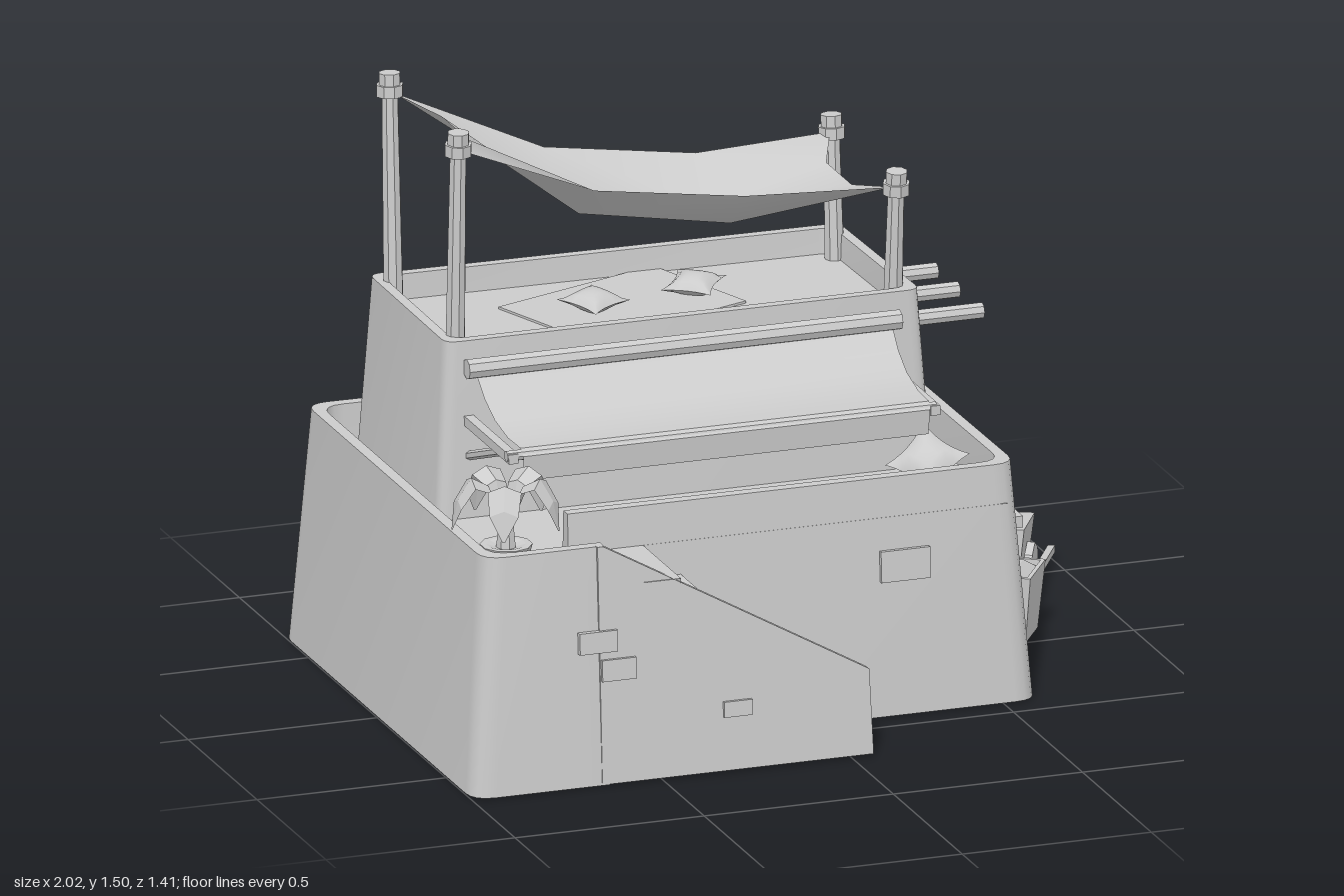
import * as THREE from 'three';
import { toCreasedNormals } from 'three/addons/utils/BufferGeometryUtils.js';

const smooth = new THREE.MeshStandardMaterial({ color: 0xcccccc, side: THREE.DoubleSide });
const flat = new THREE.MeshStandardMaterial({ color: 0xcccccc, side: THREE.DoubleSide, flatShading: true });
const V = (x, y, z) => new THREE.Vector3(x, y, z);

function add(parent, name, geometry, pos = [0, 0, 0], rot = [0, 0, 0], material = flat) {
  const m = new THREE.Mesh(geometry, material);
  m.name = name;
  m.position.set(...pos);
  m.rotation.set(...rot);
  parent.add(m);
  return m;
}
const box = (parent, name, size, pos, rot) => add(parent, name, new THREE.BoxGeometry(...size), pos, rot);

// Surface through equal rows of points
function grid(rows, crease = 0.6) {
  const n = rows[0].length, index = [];
  for (let i = 0; i < rows.length - 1; i++) for (let j = 0; j < n - 1; j++) {
    const a = i * n + j, d = a + n;
    index.push(a, a + 1, d + 1, a, d + 1, d);
  }
  const g = new THREE.BufferGeometry().setFromPoints(rows.flat());
  g.setIndex(index);
  return toCreasedNormals(g, crease);
}

// Round bar between two points
function rod(parent, name, a, b, r, sides = 8, r2 = r) {
  const dir = b.clone().sub(a);
  const m = add(parent, name, new THREE.CylinderGeometry(r2, r, dir.length(), sides), a.clone().lerp(b, 0.5).toArray());
  m.quaternion.setFromUnitVectors(V(0, 1, 0), dir.normalize());
  return m;
}

// Move a plan outline inwards by d and round its corners
function outline(pts, d, r, closed) {
  const n = pts.length, P = pts.map(p => new THREE.Vector2(...p));
  const normal = i => {
    const e = P[(i + 1) % n].clone().sub(P[i]).normalize();
    return new THREE.Vector2(e.y, -e.x);
  };
  const off = P.map((p, i) => {
    const a = normal(!closed && i === 0 ? 0 : (i + n - 1) % n);
    const b = normal(!closed && i === n - 1 ? n - 2 : i);
    const first = !closed && i === n - 1 ? normal(n - 2) : a;
    return p.clone().addScaledVector(first.clone().add(b), d / (1 + first.dot(b)));
  });
  const out = [];
  off.forEach((p, i) => {
    if (!closed && (i === 0 || i === n - 1)) return out.push(p);
    const q = off[(i + n - 1) % n], s = off[(i + 1) % n];
    const a = p.clone().add(q.clone().sub(p).setLength(r)), b = p.clone().add(s.clone().sub(p).setLength(r));
    out.push(...new THREE.QuadraticBezierCurve(a, p, b).getPoints(4));
  });
  if (closed) out.push(out[0].clone());
  return out;
}

// Leaning wall with a parapet, swept round a plan outline; profile is [inset, height]
function wall(parent, name, pts, profile, r, closed) {
  const rows = profile.map(([d, y]) => outline(pts, d, r, closed).map(p => V(p.x, y, p.y)));
  add(parent, name, grid(rows), [0, 0, 0], [0, 0, 0], smooth);
  if (!closed) for (const k of [0, rows[0].length - 1]) {
    const e = rows.map(row => row[k]);
    add(parent, name + 'End', grid([[e[0], e[1]], [e[3], e[2]]]));
  }
}
function floor(parent, name, pts, y) {
  const g = new THREE.ShapeGeometry(new THREE.Shape(pts.map(([x, z]) => new THREE.Vector2(x, -z))));
  add(parent, name, g.rotateX(-Math.PI / 2), [0, y, 0]);
}

// Pillow with pinched edges and pulled-out corners
function cushion(parent, pos, rot, size = 0.13) {
  const g = new THREE.BoxGeometry(2, 1, 2, 6, 2, 6), p = g.attributes.position;
  for (let i = 0; i < p.count; i++) {
    const u = p.getX(i), v = p.getZ(i), a = 1 - u * u, b = 1 - v * v;
    p.setXYZ(i, u * (1 - 0.18 * b) * size / 2, p.getY(i) * 0.05 * Math.sqrt(a * b), v * (1 - 0.18 * a) * size / 2);
  }
  g.computeVertexNormals();
  add(parent, 'cushion', g, pos, rot, smooth);
}

function pole(parent, x, z, lean, top) {
  const a = V(x, 0.89, z - lean), b = V(x, top, z), at = y => a.clone().lerp(b, (y - 0.89) / (top - 0.89));
  rod(parent, 'canopyPole', a, b, 0.026, 8, 0.021);
  rod(parent, 'poleRing', at(top - 0.06), at(top - 0.03), 0.035);
  rod(parent, 'poleCap', at(top - 0.03), b, 0.028);
}

function plant(parent) {
  const g = new THREE.Group();
  g.name = 'pottedPlant';
  g.position.set(-0.865, 0.5, 0.565);
  parent.add(g);
  const pot = [[0, 0], [0.042, 0], [0.062, 0.1], [0.066, 0.115], [0.05, 0.115], [0, 0.1]];
  add(g, 'pot', new THREE.LatheGeometry(pot.map(p => new THREE.Vector2(...p)), 10));
  add(g, 'trunk', new THREE.CylinderGeometry(0.018, 0.028, 0.1, 7), [0, 0.13, 0]);
  for (let i = 0; i < 5; i++) {
    // reach, height, half width along one drooping leaf
    const rows = [[0.005, 0.15, 0.008], [0.045, 0.27, 0.03], [0.09, 0.295, 0.042], [0.125, 0.24, 0.036], [0.14, 0.165, 0.003]]
      .map(([r, y, w]) => [V(r, y - w * 0.4, w), V(r, y, 0), V(r, y - w * 0.4, -w)]);
    add(g, 'leaf', grid(rows), [0, 0, 0], [0, 0.55 + i * Math.PI * 0.4, 0]);
  }
}

function cart(parent) {
  const g = new THREE.Group();
  g.name = 'handcart';
  g.position.set(0.735, 0.08, -0.325);
  g.rotation.set(-0.12, -0.47, 0, 'YXZ');
  parent.add(g);
  // Tray narrows to the bottom
  const tray = new THREE.BoxGeometry(0.2, 0.14, 0.22), p = tray.attributes.position;
  for (let i = 0; i < p.count; i++) if (p.getY(i) < 0) p.setXYZ(i, p.getX(i) * 0.85, p.getY(i), p.getZ(i) * 0.85);
  add(g, 'tray', tray, [0, 0.06, 0]);
  box(g, 'tailBoard', [0.18, 0.13, 0.02], [0, 0.06, -0.115], [-0.12, 0, 0]);
  rod(g, 'axle', V(-0.125, 0, 0), V(0.125, 0, 0), 0.014);
  for (const s of [-1, 1]) {
    rod(g, 'wheel', V(s * 0.095, 0, 0), V(s * 0.115, 0, 0), 0.078);
    rod(g, 'hub', V(s * 0.115, 0, 0), V(s * 0.13, 0, 0), 0.018);
    box(g, 'handle', [0.018, 0.018, 0.48], [s * 0.112, -0.015, -0.135]);
  }
}

export function createModel() {
  const root = new THREE.Group();
  root.name = 'adobeHouse';

  // Lower storey, open below, with a terrace on top
  const lower = [[-0.64, 0.435], [0.59, 0.435], [0.58, -0.65], [-1, -0.685], [-1, 0.7], [-0.64, 0.7]];
  wall(root, 'lowerWall', lower, [[0, 0], [0.043, 0.612], [0.073, 0.612], [0.078, 0.51]], 0.06, false);
  floor(root, 'terraceFloor', [[-0.93, 0.64], [-0.54, 0.64], [-0.54, 0.4], [0.52, 0.4], [0.51, -0.58], [-0.93, -0.61]], 0.51);

  // Upper storey with its roof terrace
  const upper = [[-0.855, 0.05], [0.455, 0.055], [0.44, -0.555], [-0.85, -0.58]];
  wall(root, 'upperWall', upper, [[0, 0.505], [0.028, 0.965], [0.055, 0.965], [0.06, 0.9]], 0.035, true);
  floor(root, 'roofFloor', [[-0.8, -0.005], [0.4, 0], [0.385, -0.5], [-0.795, -0.525]], 0.9);
  box(root, 'rug', [0.5, 0.006, 0.36], [-0.25, 0.904, -0.28], [0, 0.35, 0]);
  cushion(root, [-0.33, 0.93, -0.27], [0.1, 0.5, 0]);
  cushion(root, [-0.05, 0.93, -0.31], [0, 0.9, 0.1]);
  cushion(root, [0.4, 0.56, 0.15], [0.5, 0.6, 0.4], 0.15);

  // Stairs and their sloping outer wall
  const steps = [V(0.045, 0, 0)], n = 6;
  for (let i = 0; i < n; i++) {
    const x = 0.045 - i * 0.585 / n, y = (i + 1) * 0.51 / n;
    steps.push(V(x, y, 0), V(x - 0.585 / n, y, 0));
  }
  add(root, 'stairs', grid(steps.map(p => [V(p.x, p.y, 0.675), V(p.x, p.y, 0.39)])));
  const side = new THREE.Shape([[-0.66, 0], [0.057, 0], [0.05, 0.22], [-0.645, 0.612], [-0.66, 0.612]].map(p => new THREE.Vector2(...p)));
  add(root, 'stairWall', new THREE.ExtrudeGeometry(side, { depth: 0.035, bevelEnabled: false }), [0, 0, 0.667], [-0.06, 0, 0]);

  // Bricks showing through the plaster
  for (const [x, y, z, w, h] of [[-0.665, 0.37, 0.67, 0.1, 0.055], [-0.612, 0.295, 0.674, 0.09, 0.055],
    [-0.3, 0.16, 0.682, 0.075, 0.04], [0.245, 0.385, 0.4, 0.13, 0.08]])
    box(root, 'frontBrick', [w, h, 0.04], [x, y, z], [-0.06, 0, 0]);
  for (const [x, y, z, w, h] of [[0.54, 0.46, -0.36, 0.105, 0.06], [0.553, 0.295, -0.205, 0.095, 0.058], [0.428, 0.72, -0.098, 0.1, 0.058]])
    box(root, 'sideBrick', [0.04, h, w], [x, y, z], [0, 0, 0.07]);

  // Doorway
  box(root, 'door', [0.03, 0.4, 0.2], [0.568, 0.2, 0.13], [0, 0, 0.07]);
  for (const z of [0.02, 0.25]) box(root, 'doorJamb', [0.045, 0.405, 0.045], [0.573, 0.2, z], [0, 0, 0.05]);
  box(root, 'lintel', [0.075, 0.03, 0.285], [0.567, 0.415, 0.14]);

  // Beam ends
  for (const z of [-0.058, -0.233, -0.39]) {
    rod(root, 'beam', V(0.38, 0.86, z), V(0.62, 0.86, z), 0.021);
    rod(root, 'beamCollar', V(0.41, 0.86, z), V(0.442, 0.86, z), 0.032, 6);
  }

  // Roof canopy
  for (const z of [-0.015, -0.515]) pole(root, -0.78, z, z > -0.2 ? 0.025 : -0.03, 1.5);
  for (const z of [-0.005, -0.48]) pole(root, 0.375, z, z > -0.2 ? 0.03 : -0.025, 1.27);
  // edge x, edge y, middle x, middle y, back z, front z
  const cloth = [[-0.775, 1.45, -0.7, 1.425, -0.505, -0.02], [-0.4, 1.285, -0.4, 1.19, -0.44, -0.075],
    [0, 1.225, 0, 1.12, -0.435, -0.075], [0.37, 1.225, 0.31, 1.195, -0.475, -0.015]];
  const canopy = cloth.map(([ex, ey, mx, my, z0, z1]) => [V(ex, ey, z0), V(mx, my, z0 + (z1 - z0) * 0.3),
    V(mx, my, z0 + (z1 - z0) * 0.7), V(ex, ey, z1)]);
  add(root, 'canopy', grid(canopy, 1.2), [0, 0, 0], [0, 0, 0], smooth);

  // Front awning on brackets
  rod(root, 'awningRail', V(-0.78, 0.898, 0.045), V(0.365, 0.898, 0.045), 0.026);
  rod(root, 'awningBar', V(-0.785, 0.765, 0.345), V(0.35, 0.765, 0.345), 0.014);
  const drop = [[0.045, 0.885], [0.1, 0.835], [0.17, 0.8], [0.26, 0.782], [0.345, 0.782], [0.362, 0.765], [0.357, 0.7]];
  add(root, 'awning', grid(drop.map(([z, y], i) => [V(0.345 - i * 0.003, y, z), V(-0.755 + i * 0.002, y, z)])), [0, 0, 0], [0, 0, 0], smooth);
  for (const x of [-0.77, 0.345]) {
    box(root, 'awningArm', [0.025, 0.025, 0.34], [x, 0.76, 0.19]);
    rod(root, 'awningStrut', V(x, 0.67, 0.04), V(x, 0.75, 0.26), 0.012, 6);
  }

  // Things standing around
  plant(root);
  cart(root);
  const crate = [[0, 0], [0.092, 0], [0.115, 0.175], [0.1, 0.175], [0.098, 0.155], [0.05, 0.185], [0, 0.19]];
  add(root, 'crate', new THREE.LatheGeometry(crate.map(p => new THREE.Vector2(...p)), 4), [0.69, 0, -0.075], [0, 0.2, 0]);
  return root;
}
